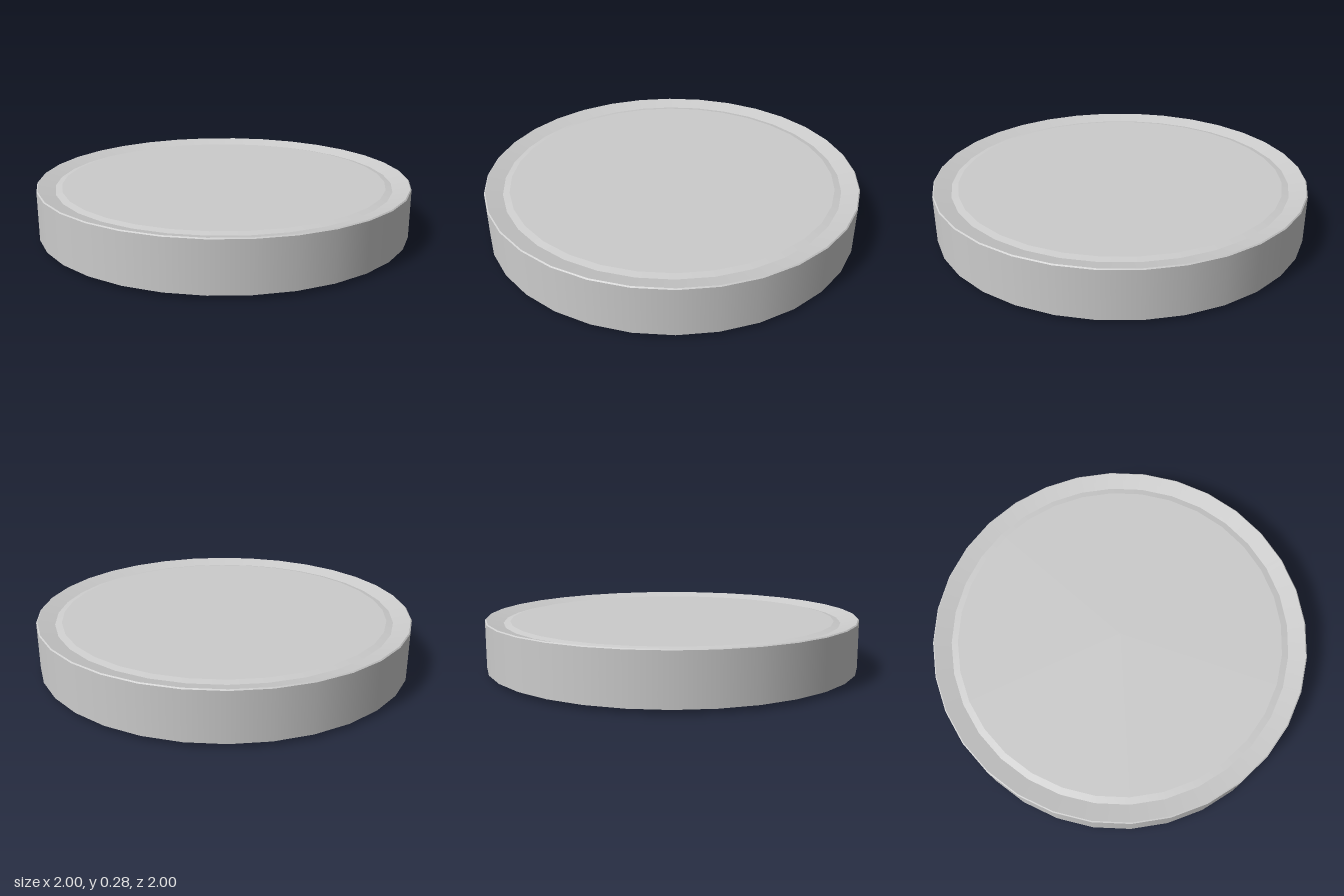
import * as THREE from 'three';

const SIDES = 32;
const material = new THREE.MeshStandardMaterial({ color: 0xcccccc });

// Revolve a short profile of [radius, height] points; each band keeps its own normals
function band(name, profile) {
  const points = profile.map(([r, y]) => new THREE.Vector2(r, y));
  const mesh = new THREE.Mesh(new THREE.LatheGeometry(points, SIDES), material);
  mesh.name = name;
  return mesh;
}

export function createModel() {
  const group = new THREE.Group();
  group.name = 'disc';
  group.add(
    // Flat underside and its shallow chamfer
    band('underside', [[0, 0], [0.87, 0]]),
    band('lowerChamfer', [[0.87, 0], [0.95, 0.007], [1, 0.02]]),
    // Upright wall with a tiny bevel at the lip
    band('wall', [[1, 0.02], [1, 0.275]]),
    band('lip', [[1, 0.275], [0.994, 0.28]]),
    // Rim sloping inward to a shallow groove
    band('rim', [[0.994, 0.28], [0.905, 0.257]]),
    // Slight rise from the groove to the flat top
    band('innerChamfer', [[0.905, 0.257], [0.87, 0.265]]),
    band('topFace', [[0.87, 0.265], [0, 0.265]])
  );
  return group;
}
